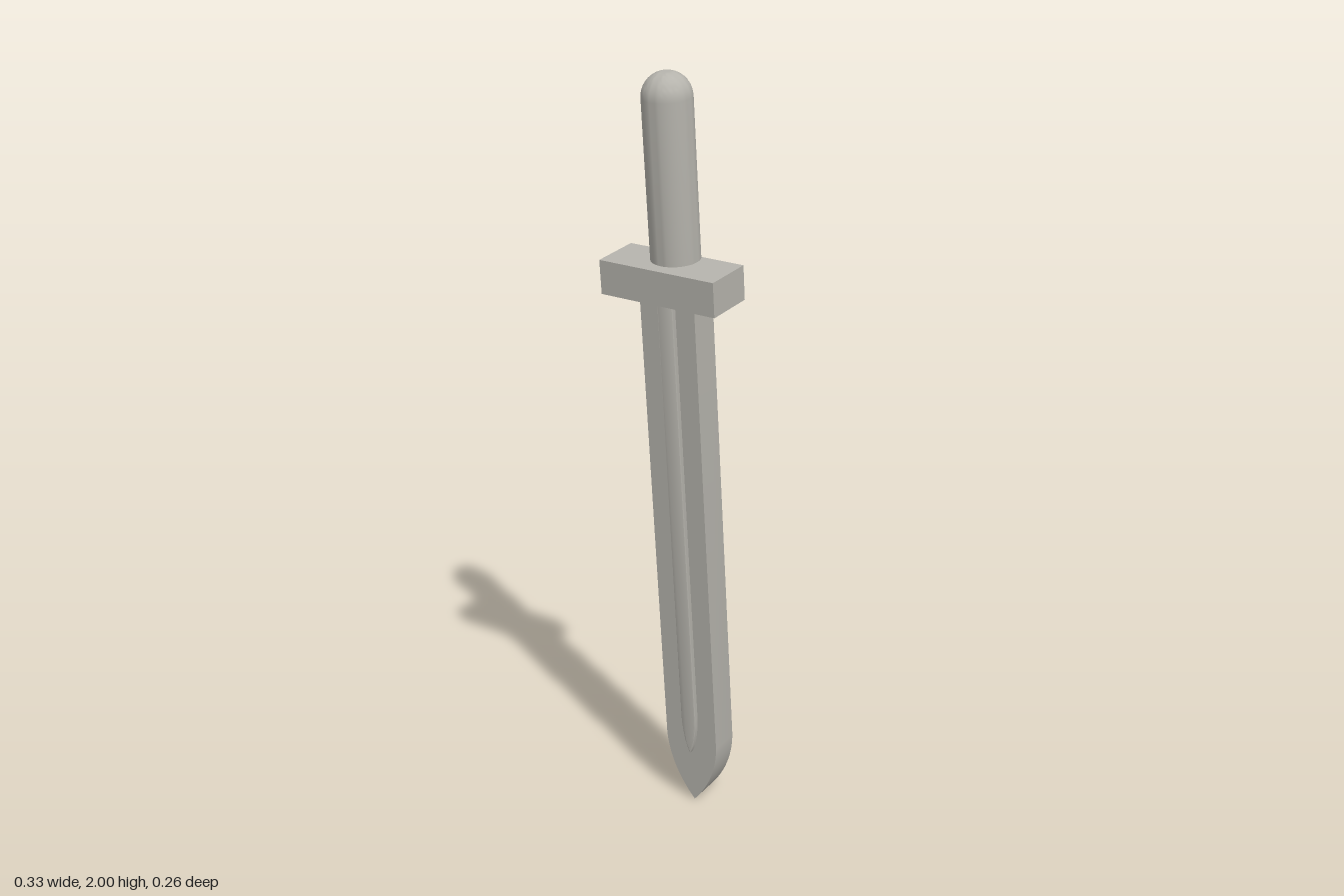
import * as THREE from 'three';
import { toCreasedNormals } from 'three/addons/utils/BufferGeometryUtils.js';

export function createModel() {
  const stone = new THREE.MeshStandardMaterial({ color: 0xb5b3ac });
  stone.name = 'stone grey';

  // Leaning sword: local y runs from tip to pommel, the flat back lies on z = 0
  const sword = new THREE.Group();
  sword.name = 'sword';
  sword.position.set(0, 0.007, -0.132);
  sword.rotation.x = 0.0848;

  const add = (name, geometry, x, y, z) => {
    const mesh = new THREE.Mesh(toCreasedNormals(geometry, 0.6), stone);
    mesh.name = name;
    mesh.position.set(x, y, z);
    sword.add(mesh);
  };

  // Outline with straight sides and a curved point at the bottom
  const bladeOutline = (half, tip, shoulder, top, bulge) => {
    const s = new THREE.Shape();
    const bend = tip + (shoulder - tip) * 0.45;
    s.moveTo(0, tip);
    s.quadraticCurveTo(half * bulge, bend, half, shoulder);
    s.lineTo(half, top);
    s.lineTo(-half, top);
    s.lineTo(-half, shoulder);
    s.quadraticCurveTo(-half * bulge, bend, 0, tip);
    return s;
  };

  // Blade
  add('blade', new THREE.ExtrudeGeometry(bladeOutline(0.079, 0, 0.19, 1.463, 0.92),
    { depth: 0.079, bevelEnabled: false, curveSegments: 12 }), -0.008, 0, 0);

  // Raised rib along the front of the blade
  add('bladeRib', new THREE.ExtrudeGeometry(bladeOutline(0.018, 0.165, 0.27, 1.463, 0.9),
    { depth: 0.01, bevelThickness: 0.004, bevelSize: 0.004, bevelSegments: 2, curveSegments: 10 }),
  -0.006, 0, 0.079);

  // Crossguard
  add('crossguard', new THREE.BoxGeometry(0.326, 0.087, 0.129), 0, 1.5065, 0.0645);

  // Round grip with a domed end, flattened at the back
  const radius = 0.061, depth = 0.035;
  const profile = [new THREE.Vector2(radius, 1.55)];
  for (let i = 0; i <= 10; i++) {
    const a = (i / 10) * Math.PI / 2;
    profile.push(new THREE.Vector2(radius * Math.cos(a), 1.943 + 0.06 * Math.sin(a)));
  }
  const grip = new THREE.LatheGeometry(profile, 48);
  const p = grip.attributes.position;
  for (let i = 0; i < p.count; i++) p.setZ(i, Math.max(p.getZ(i), -depth));
  add('grip', grip, -0.006, 0, depth);

  const model = new THREE.Group();
  model.name = 'model';
  model.add(sword);
  return model;
}
